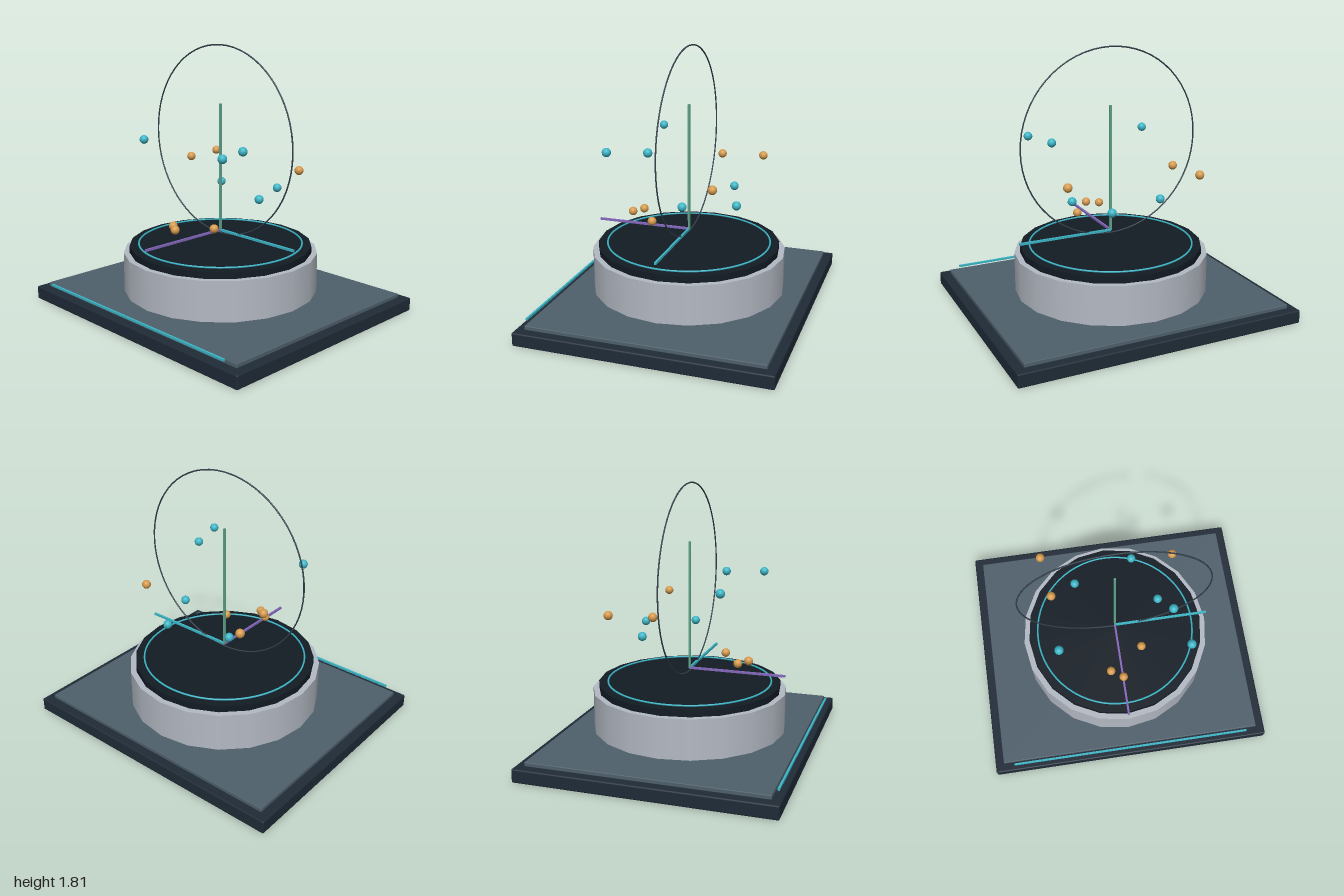
import * as THREE from 'three';
import { RoundedBoxGeometry } from 'three/addons/geometries/RoundedBoxGeometry.js';

const paint = (color) => new THREE.MeshStandardMaterial({ color });

export function createModel() {
  const model = new THREE.Group();
  const navy = paint(0x1f2b37), slate = paint(0x4f606c), silver = paint(0xb4bac4);
  const black = paint(0x121b24), cyan = paint(0x3bb5c6), orange = paint(0xd69a4c);
  const green = paint(0x5fa58c), purple = paint(0x8468bd), wire = paint(0x35424e);

  const add = (name, geometry, material, x, y, z) => {
    const mesh = new THREE.Mesh(geometry, material);
    mesh.name = name;
    mesh.position.set(x, y, z);
    model.add(mesh);
    return mesh;
  };

  // Stepped rectangular base with a light strip along the front
  add('base', new RoundedBoxGeometry(2, 0.092, 1.705, 2, 0.01), navy, 0, 0.046, 0);
  add('basePlate', new RoundedBoxGeometry(1.875, 0.029, 1.585, 2, 0.005), slate, 0, 0.1065, 0);
  add('frontStrip', new THREE.BoxGeometry(1.72, 0.014, 0.014), cyan, 0, 0.127, 0.816);

  // Round pedestal, dark top disc and glowing rim
  add('drum', new THREE.CylinderGeometry(0.667, 0.667, 0.272, 20), silver, 0, 0.273, 0);
  add('topDisc', new THREE.CylinderGeometry(0.627, 0.627, 0.045, 20), black, 0, 0.4315, 0);
  add('rimRing', new THREE.TorusGeometry(0.562, 0.0065, 8, 64), cyan, 0, 0.462, 0).rotation.x = Math.PI / 2;

  // Upright hoop
  add('hoop', new THREE.TorusGeometry(0.642, 0.005, 8, 64), wire, 0, 1.167, 0);

  // Three axis rods meeting above the disc
  add('xAxis', new THREE.BoxGeometry(0.667, 0.015, 0.015), cyan, 0.333, 0.544, 0);
  add('yAxis', new THREE.BoxGeometry(0.014, 0.876, 0.014), green, 0, 0.982, 0);
  add('zAxis', new THREE.BoxGeometry(0.014, 0.015, 0.667), purple, 0, 0.544, 0.333);

  // Floating beads in four height layers, each listed as [x, z]
  const bead = new THREE.SphereGeometry(0.03, 20, 14);
  const layers = [
    { y: 0.628, material: orange, spots: [[0.157, 0.213], [-0.08, 0.361], [0, 0.415]] },
    { y: 0.807, material: cyan, spots: [[-0.247, -0.253], [0.174, -0.384], [0.309, -0.055]] },
    { y: 0.986, material: orange, spots: [[-0.457, -0.405], [0.441, -0.3], [-0.417, -0.115]] },
    { y: 1.166, material: cyan, spots: [[-0.408, 0.328], [0.362, 0.157], [0.436, 0.412]] },
  ];
  for (const { y, material, spots } of layers) {
    for (const [x, z] of spots) add('bead', bead, material, x, y, z);
  }
  return model;
}
